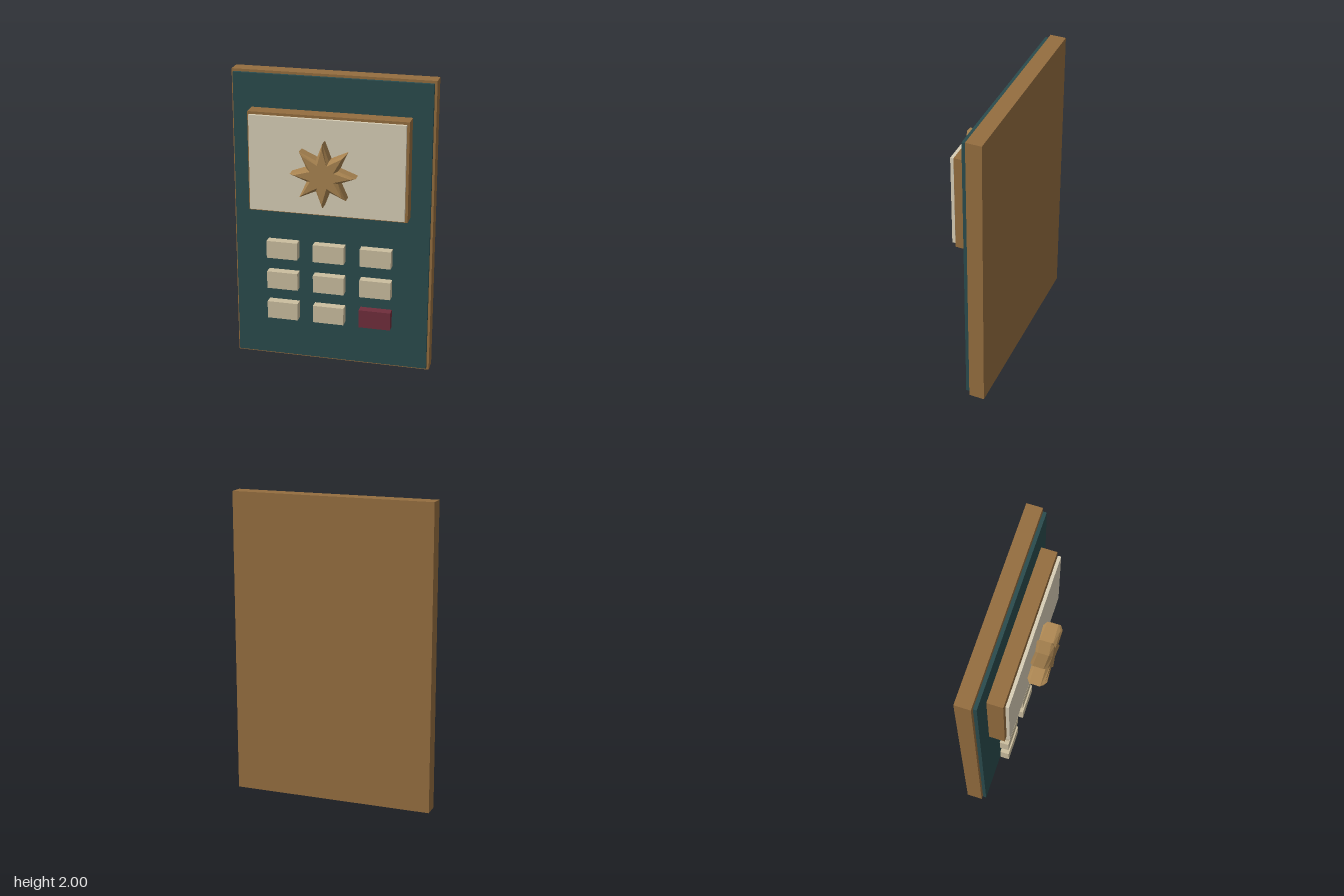
import * as THREE from 'three';

const material = (color) => new THREE.MeshStandardMaterial({ color });

const wood = material(0x946d3f);
const teal = material(0x2a4b4d);
const cream = material(0xd8ceb6);
const buttonCream = material(0xcbbe9f);
const red = material(0x702e3c);
const brass = material(0xa88350);

// Box given by its limits on each axis
function slab(name, mat, [x0, x1], [y0, y1], [z0, z1]) {
  const mesh = new THREE.Mesh(new THREE.BoxGeometry(x1 - x0, y1 - y0, z1 - z0), mat);
  mesh.position.set((x0 + x1) / 2, (y0 + y1) / 2, (z0 + z1) / 2);
  mesh.name = name;
  return mesh;
}

// Eight-pointed star with a single-step bevel on both faces
function createStar() {
  const shape = new THREE.Shape();
  const points = [];
  for (let i = 0; i < 16; i++) {
    const r = i % 2 ? 0.08 : 0.184;
    const a = Math.PI / 2 + (i * Math.PI) / 8;
    points.push(new THREE.Vector2(r * Math.cos(a), r * Math.sin(a)));
  }
  shape.setFromPoints(points);
  const geometry = new THREE.ExtrudeGeometry(shape, {
    depth: 0.07,
    bevelEnabled: true,
    bevelThickness: 0.021,
    bevelSize: 0.021,
    bevelSegments: 1,
  });
  const star = new THREE.Mesh(geometry, brass);
  star.name = 'star';
  star.position.set(0, 1.413, 0.105);
  return star;
}

export function createModel() {
  const model = new THREE.Group();
  model.name = 'keypadPanel';

  // Layered boards, back to front
  model.add(
    slab('backBoard', wood, [-0.667, 0.667], [0, 2], [-0.2, -0.096]),
    slab('facePlate', teal, [-0.652, 0.652], [0.02, 1.985], [-0.09, -0.067]),
    slab('displayFrame', wood, [-0.525, 0.525], [1.1, 1.765], [-0.059, 0.045]),
    slab('displayPanel', cream, [-0.51, 0.51], [1.115, 1.75], [0.053, 0.074]),
    createStar(),
  );

  // Three by three buttons, the lower left-hand one being red
  const buttons = new THREE.Group();
  buttons.name = 'buttons';
  for (let row = 0; row < 3; row++) {
    for (let col = 0; col < 3; col++) {
      const isRed = row === 2 && col === 2;
      const x = (col - 1) * 0.314;
      const y = 0.82 - row * 0.218;
      const w = isRed ? 0.106 : 0.104;
      const h = isRed ? 0.062 : 0.06;
      buttons.add(slab(isRed ? 'redButton' : 'button', isRed ? red : buttonCream,
        [x - w, x + w], [y - h, y + h], [-0.032, 0.028]));
    }
  }
  model.add(buttons);
  return model;
}
